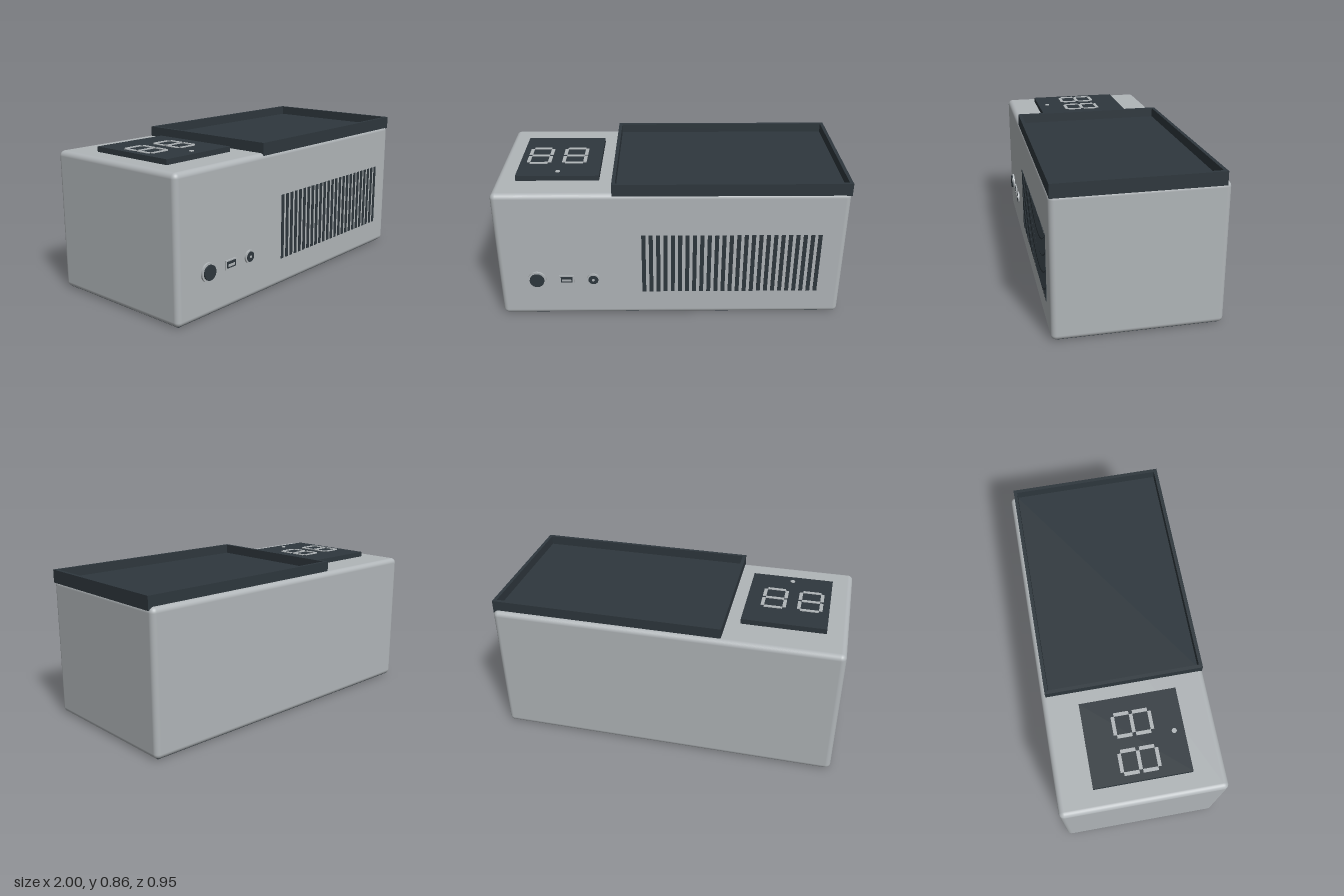
import * as THREE from 'three';
import { RoundedBoxGeometry } from 'three/addons/geometries/RoundedBoxGeometry.js';

export function createModel() {
  const model = new THREE.Group();
  const grey = new THREE.MeshStandardMaterial({ color: 0xb0b5b8 });
  grey.name = 'light grey casing';
  const dark = new THREE.MeshStandardMaterial({ color: 0x2e373d });
  dark.name = 'dark slate';

  const add = (name, geometry, material, x, y, z, parent = model) => {
    const mesh = new THREE.Mesh(geometry, material);
    mesh.name = name;
    mesh.position.set(x, y, z);
    parent.add(mesh);
    return mesh;
  };
  // box given by its lower and upper corners
  const box = (name, material, [x0, y0, z0], [x1, y1, z1], parent) =>
    add(name, new THREE.BoxGeometry(x1 - x0, y1 - y0, z1 - z0), material,
      (x0 + x1) / 2, (y0 + y1) / 2, (z0 + z1) / 2, parent);
  // disc facing the front, from z0 to z1
  const disc = (name, material, r, x, y, z0, z1, parent) => {
    const g = new THREE.CylinderGeometry(r, r, z1 - z0, 32).rotateX(Math.PI / 2);
    return add(name, g, material, x, y, (z0 + z1) / 2, parent);
  };
  const group = (name) => {
    const g = new THREE.Group();
    g.name = name;
    model.add(g);
    return g;
  };

  // Casing and underside
  const FRONT = 0.455;
  add('casing', new RoundedBoxGeometry(1.995, 0.798, 0.927, 4, 0.03), grey, 0, 0.401, -0.0085);
  box('basePlate', dark, [-0.975, 0, -0.45], [0.975, 0.006, 0.433]);

  // Raised rim around the recessed tray
  const rim = new THREE.Shape([
    [-0.325, -0.45], [1, -0.45], [1, 0.445], [-0.325, 0.445],
  ].map(([x, y]) => new THREE.Vector2(x, y)));
  rim.holes.push(new THREE.Path([
    [-0.305, -0.43], [-0.305, 0.425], [0.98, 0.425], [0.98, -0.43],
  ].map(([x, y]) => new THREE.Vector2(x, y))));
  const rimGeometry = new THREE.ExtrudeGeometry(rim, { depth: 0.075, bevelEnabled: false });
  rimGeometry.rotateX(-Math.PI / 2);
  add('trayRim', rimGeometry, dark, 0, 0.783, 0);
  box('trayFloor', dark, [-0.31, 0.785, -0.43], [0.985, 0.804, 0.435]);

  // Display with two seven-segment digits
  const display = group('display');
  box('displayPanel', dark, [-0.88, 0.795, -0.27], [-0.405, 0.83, 0.277], display);
  const Y0 = 0.828, Y1 = 0.834;
  for (const cx of [-0.77, -0.563]) {
    for (const z of [-0.1, 0.002, 0.105]) {
      box('digitBar', grey, [cx - 0.052, Y0, z - 0.01], [cx + 0.052, Y1, z + 0.01], display);
    }
    for (const side of [-1, 1]) {
      for (const z of [-0.05, 0.054]) {
        const x = cx + side * 0.062;
        box('digitPost', grey, [x - 0.01, Y0, z - 0.042], [x + 0.01, Y1, z + 0.042], display);
      }
    }
  }
  add('indicatorDot', new THREE.CylinderGeometry(0.014, 0.014, 0.006, 20), grey, -0.645, 0.831, 0.22, display);

  // Speaker grille slots
  const grille = group('grille');
  for (let i = 0; i < 25; i++) {
    const x = -0.155 + i * 0.0418;
    box('grilleSlot', dark, [x - 0.0115, 0.16, FRONT - 0.004], [x + 0.0115, 0.54, FRONT + 0.003], grille);
  }

  // Knob with collar
  const knob = group('knob');
  disc('knobCollar', grey, 0.053, -0.777, 0.248, FRONT - 0.01, 0.466, knob);
  disc('knobCap', dark, 0.042, -0.777, 0.248, FRONT, 0.475, knob);

  // USB port: frame, opening and tongue
  const port = group('port');
  box('portFrame', grey, [-0.648, 0.222, FRONT - 0.01], [-0.563, 0.274, 0.463], port);
  box('portOpening', dark, [-0.639, 0.23, FRONT], [-0.572, 0.267, 0.465], port);
  box('portTongue', grey, [-0.632, 0.238, FRONT], [-0.579, 0.252, 0.467], port);

  // Power jack: collar, socket and pin
  const jack = group('jack');
  disc('jackCollar', grey, 0.038, -0.45, 0.248, FRONT - 0.01, 0.465, jack);
  disc('jackSocket', dark, 0.029, -0.45, 0.248, FRONT, 0.467, jack);
  disc('jackPin', grey, 0.008, -0.45, 0.248, FRONT, 0.469, jack);

  return model;
}
